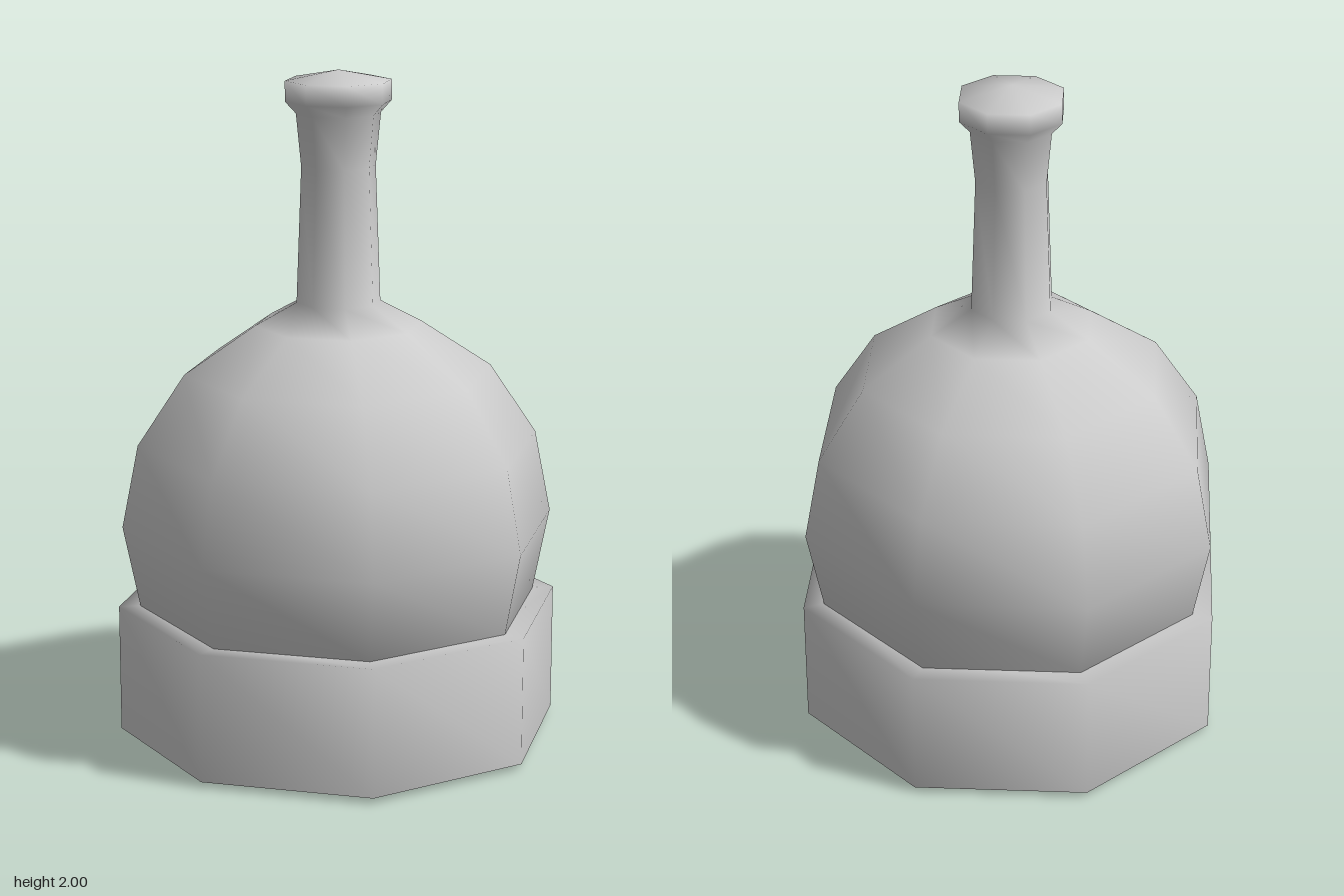
import * as THREE from 'three';
import { mergeVertices } from 'three/addons/utils/BufferGeometryUtils.js';

const SIDES = 8;

// Eight-sided lathe, welded so the shading is smooth across seam and poles
function turned(name, profile, side = THREE.FrontSide) {
  const lathe = new THREE.LatheGeometry(profile.map(([r, y]) => new THREE.Vector2(r, y)), SIDES);
  lathe.deleteAttribute('uv');
  lathe.deleteAttribute('normal');
  const geometry = mergeVertices(lathe, 1e-4);
  geometry.computeVertexNormals();
  const mesh = new THREE.Mesh(geometry, new THREE.MeshStandardMaterial({ color: 0xcccccc, side }));
  mesh.name = name;
  return mesh;
}

export function createModel() {
  const group = new THREE.Group();
  group.name = 'roundFlaskOnCollar';

  // Round bulb: latitude rings from the bottom pole up to the shoulder
  const R = 0.65;
  const flask = [];
  for (let i = 0; i <= 7; i++) {
    const a = (i / 8) * Math.PI;
    flask.push([R * Math.sin(a), R - R * Math.cos(a)]);
  }
  // Neck, flared lip and shallow pointed cap continue the same surface
  flask.push([0.125, 1.317], [0.11, 1.72], [0.125, 1.875], [0.157, 1.91], [0.157, 1.97], [0, 2]);
  group.add(turned('flask', flask));

  // Collar: thin wall open at the bottom, with a ledge running in to the bulb
  group.add(turned('collar', [[0.665, 0.017], [0.665, 0.403], [0.56, 0.403]], THREE.DoubleSide));

  return group;
}
